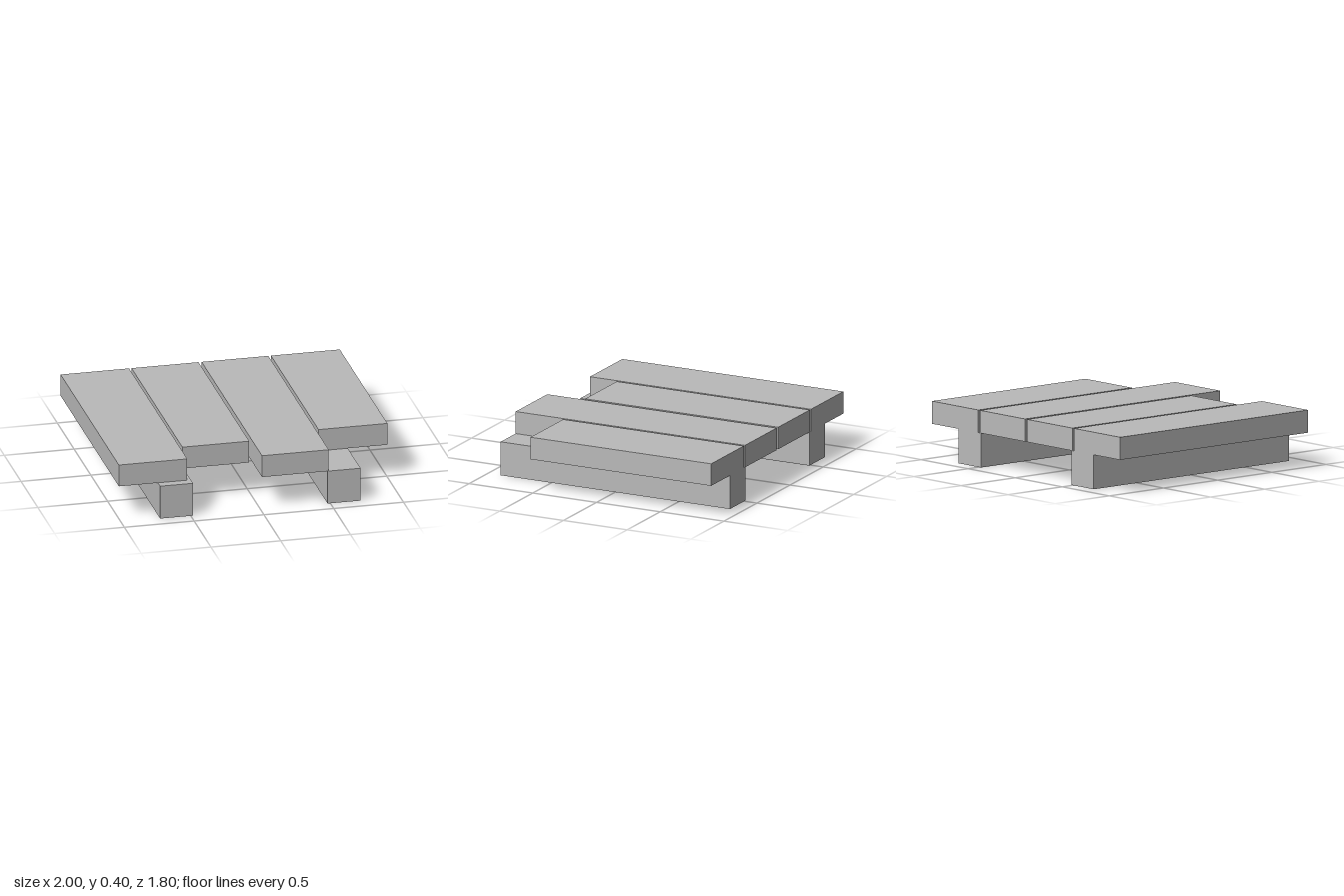
import * as THREE from 'three';

export function createModel() {
  const model = new THREE.Group();
  model.name = 'plankPlatform';
  const grey = new THREE.MeshStandardMaterial({ color: 0xbababa });
  grey.name = 'plain grey';

  const back = -0.9, deckBottom = 0.243, deckTop = 0.403;

  // Box given by its extents; every board starts flush at the back
  function board(name, x0, x1, y0, y1, front) {
    const mesh = new THREE.Mesh(new THREE.BoxGeometry(x1 - x0, y1 - y0, front - back), grey);
    mesh.name = name;
    mesh.position.set((x0 + x1) / 2, (y0 + y1) / 2, (back + front) / 2);
    model.add(mesh);
  }

  // Deck planks of uneven length, with narrow gaps: [x0, x1, front end]
  [
    [-1, -0.51, 0.835],
    [-0.492, -0.013, 0.615],
    [0.01, 0.488, 0.9],
    [0.507, 1, 0.518],
  ].forEach(([x0, x1, front], i) => board(`plank${i + 1}`, x0, x1, deckBottom, deckTop, front));

  // Two bearer beams under the deck
  board('rightBeam', -0.72, -0.485, 0, deckBottom, 0.9);
  board('leftBeam', 0.48, 0.716, 0, deckBottom, 0.9);

  return model;
}
